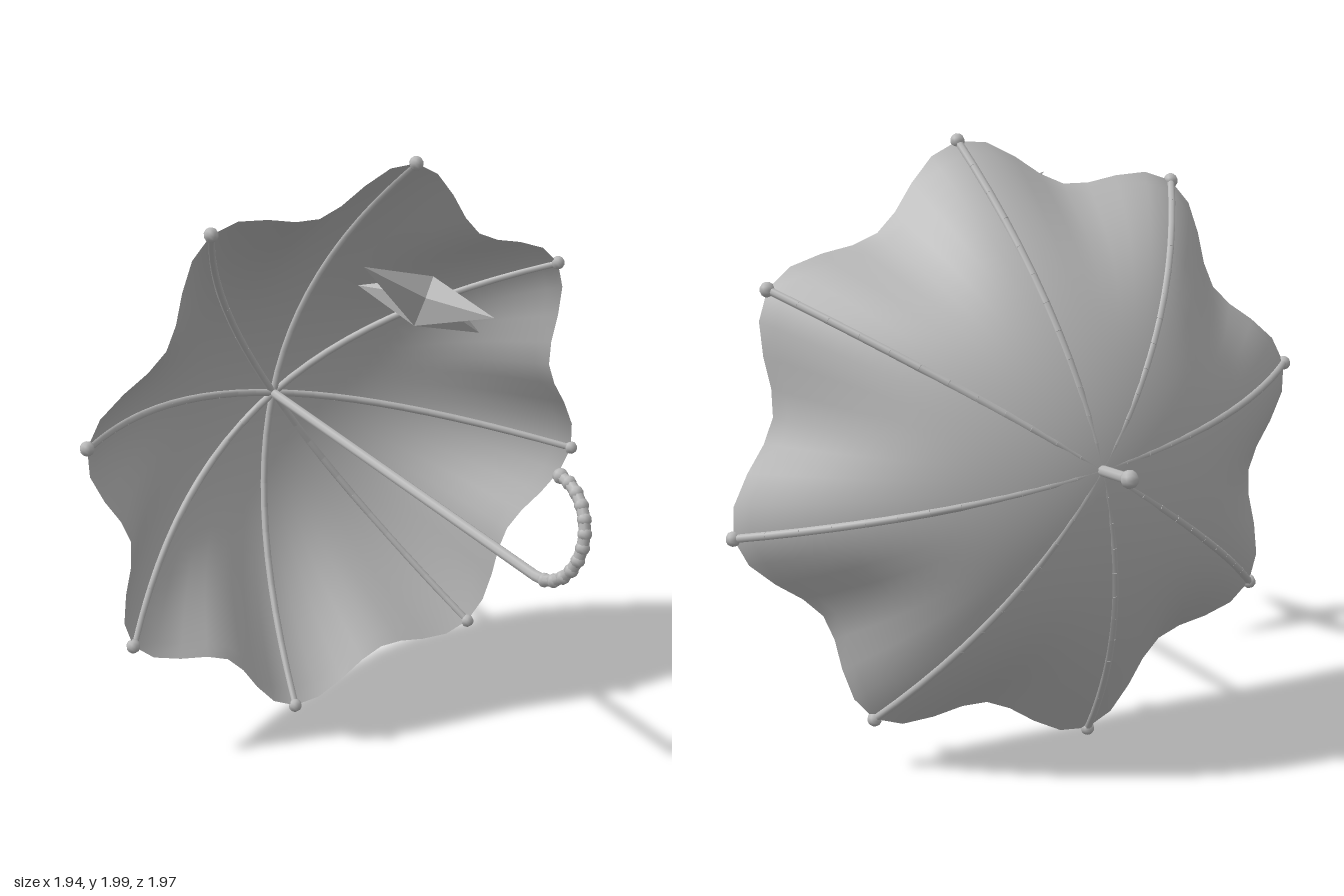
import * as THREE from 'three';

const V = (x, y, z) => new THREE.Vector3(x, y, z);
const RIBS = 8;
const SAG = 0.562;                               // depth of the canopy dome
const RIM = 0.995;                               // radius at the rib tips

// Point on the canopy: t runs from apex to rim, phi around the shaft (local x).
// The panels draw in towards the shaft between the ribs near the rim.
function canopyPoint(t, phi) {
  const sink = 0.15 * (1 - Math.cos(RIBS * phi)) / 2 * THREE.MathUtils.smoothstep(t, 0.3, 1.05);
  const r = RIM * t * (1 - sink);
  return V(-SAG * (1 - Math.pow(t, 1.95)), r * Math.cos(phi), r * Math.sin(phi));
}

// Ribs lie just inside the cloth near the apex and on it at the rim
function ribPoint(t, phi) {
  const p = canopyPoint(t, phi);
  p.x += 0.012 * (1 - t);
  return p;
}

// Grid of rings, welded around the seam so that the shading stays smooth
function canopyGeometry(rings, around) {
  const pos = [], index = [];
  for (let i = 0; i <= rings; i++)
    for (let j = 0; j < around; j++)
      pos.push(...canopyPoint(Math.max(i / rings, 0.002), j / around * Math.PI * 2).toArray());
  for (let i = 0; i < rings; i++)
    for (let j = 0; j < around; j++) {
      const k = (j + 1) % around;
      const a = i * around + j, b = i * around + k;
      const c = a + around, d = b + around;
      index.push(a, b, c, b, d, c);
    }
  const g = new THREE.BufferGeometry();
  g.setAttribute('position', new THREE.Float32BufferAttribute(pos, 3));
  g.setIndex(index);
  g.computeVertexNormals();
  return g;
}

// Four-pointed star with a raised ridge on both faces
function starGeometry(longR, innerR, half) {
  const ring = [], pos = [];
  for (let i = 0; i < 8; i++) {
    const a = i * Math.PI / 4, r = i % 2 ? innerR : longR;
    ring.push(V(r * Math.cos(a), r * Math.sin(a), 0));
  }
  for (let i = 0; i < 8; i++) {
    const p = ring[i], q = ring[(i + 1) % 8];
    for (const v of [p, q, V(0, 0, half), q, p, V(0, 0, -half)]) pos.push(...v.toArray());
  }
  const g = new THREE.BufferGeometry();
  g.setAttribute('position', new THREE.Float32BufferAttribute(pos, 3));
  g.computeVertexNormals();
  return g;
}

export function createModel() {
  const grey = new THREE.MeshStandardMaterial({ color: 0xb8b8b8 });
  grey.name = 'grey';
  const greyCloth = new THREE.MeshStandardMaterial({ color: 0xb8b8b8, side: THREE.DoubleSide });
  greyCloth.name = 'grey cloth';

  const add = (parent, name, geometry, material = grey) => {
    const m = new THREE.Mesh(geometry, material);
    m.name = name;
    parent.add(m);
    return m;
  };
  const rod = (parent, name, a, b, r) => {
    const d = b.clone().sub(a);
    const m = add(parent, name, new THREE.CylinderGeometry(r, r, d.length(), 8));
    m.position.copy(a).addScaledVector(d, 0.5);
    m.quaternion.setFromUnitVectors(V(0, 1, 0), d.normalize());
  };
  const ball = (parent, name, p, r) => {
    add(parent, name, new THREE.SphereGeometry(r, 8, 6)).position.copy(p);
  };

  const model = new THREE.Group();
  model.name = 'umbrellaAndStar';

  // Umbrella frame: local x is the shaft, local y the first rib
  const umbrella = new THREE.Group();
  umbrella.name = 'umbrella';
  const axis = V(0.975, -0.109, 0.193).normalize();
  const up = V(0.14, 0.975, -0.164);
  up.addScaledVector(axis, -up.dot(axis)).normalize();
  const side = axis.clone().cross(up);
  umbrella.quaternion.setFromRotationMatrix(new THREE.Matrix4().makeBasis(axis, up, side));
  umbrella.position.set(-0.23, 1.003, 0.002);
  model.add(umbrella);

  add(umbrella, 'canopy', canopyGeometry(24, 64), greyCloth);

  // Ribs in short straight pieces, each with a ball at the rim
  const PIECES = 12;
  for (let i = 0; i < RIBS; i++) {
    const rib = new THREE.Group();
    rib.name = 'rib';
    const phi = i / RIBS * Math.PI * 2;
    for (let j = 0; j < PIECES; j++)
      rod(rib, 'ribPiece', ribPoint(j / PIECES, phi), ribPoint((j + 1) / PIECES, phi), 0.013);
    ball(rib, 'ribTip', ribPoint(1, phi), 0.024);
    umbrella.add(rib);
  }

  // Shaft with end knob
  const hookStart = 1.031, hookR = 0.16;
  rod(umbrella, 'shaft', V(-0.73, 0, 0), V(hookStart, 0, 0), 0.017);
  ball(umbrella, 'endKnob', V(-0.73, 0, 0), 0.028);

  // Hooked handle of beaded pieces
  const handle = new THREE.Group();
  handle.name = 'handle';
  const hookPoint = a => V(hookStart + hookR * Math.sin(a), hookR * (1 - Math.cos(a)), 0);
  const BEADS = 12, sweep = Math.PI * 1.01;
  for (let i = 0; i < BEADS; i++) {
    const p = hookPoint(i / BEADS * sweep), q = hookPoint((i + 1) / BEADS * sweep);
    rod(handle, 'handlePiece', p, q, 0.018);
    ball(handle, 'handleBead', q, i === BEADS - 1 ? 0.024 : 0.022);
  }
  umbrella.add(handle);

  // Floating star, its cross arm tilted up towards the front
  const star = add(model, 'star', starGeometry(0.286, 0.072, 0.08));
  star.position.set(0.338, 1.66, 0.236);
  const arm = V(0, 0.14, 0.24).normalize();
  star.quaternion.setFromRotationMatrix(
    new THREE.Matrix4().makeBasis(V(1, 0, 0), arm, V(1, 0, 0).cross(arm)));

  return model;
}
